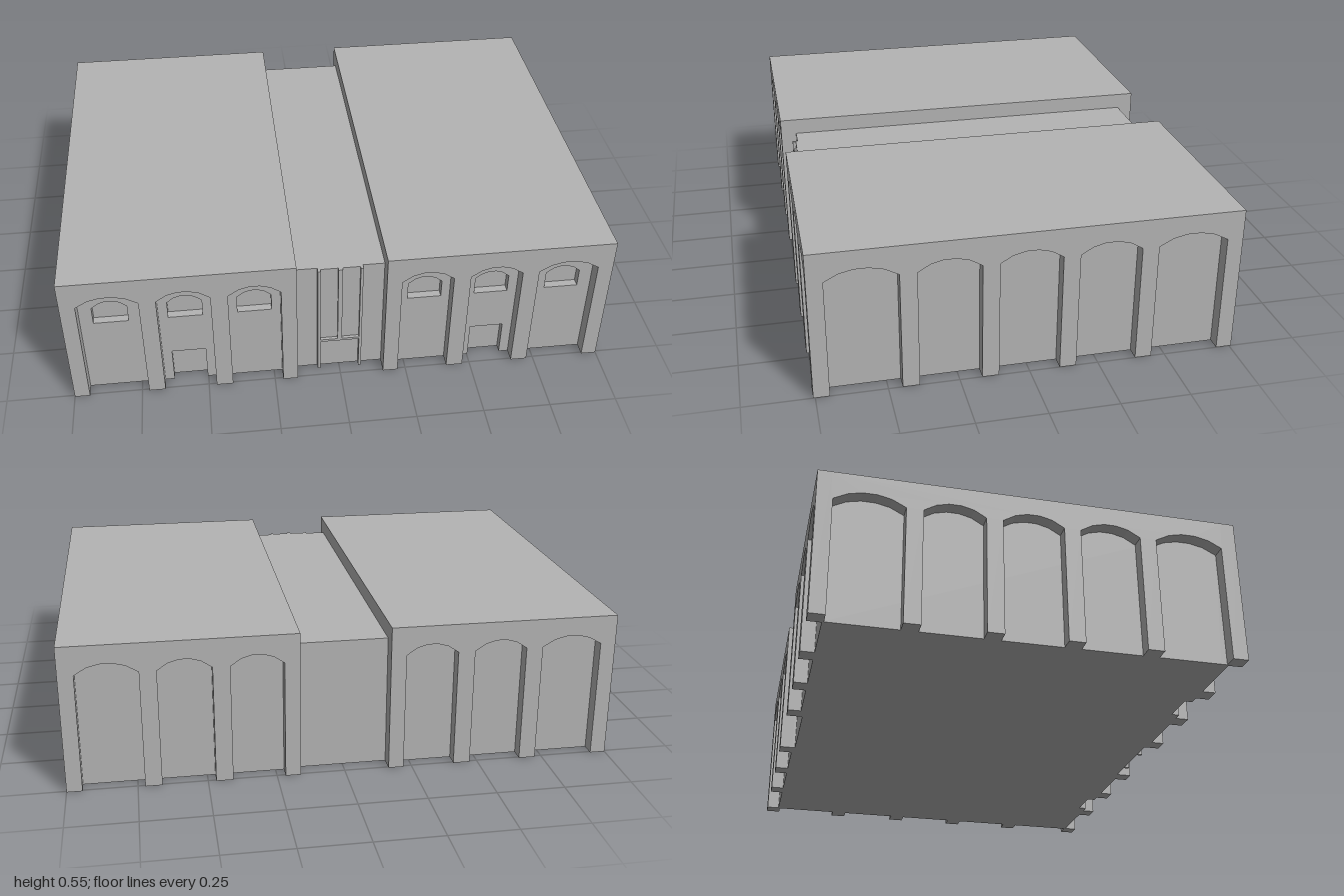
import * as THREE from 'three';

const H = 0.55, HALF_Z = 0.757, INNER = 0.163, RECESS = 0.05, REVEAL = 0.03;

// Faceted low arch: points from the left springing to the right one
function archPoints([x0, x1], spring, peak) {
  return [[0, 0], [0.2, 0.7], [0.4, 1], [0.6, 1], [0.8, 0.7], [1, 0]].map(
    ([u, v]) => new THREE.Vector2(x0 + (x1 - x0) * u, spring + (peak - spring) * v));
}

// Wall from a to b, with openings cut up from the ground, and holes
function wallGeometry(a, b, notches, holes, depth) {
  const pts = [new THREE.Vector2(a, 0)];
  for (const n of notches) {
    pts.push(new THREE.Vector2(n[0].x, 0), ...n, new THREE.Vector2(n[n.length - 1].x, 0));
  }
  pts.push(new THREE.Vector2(b, 0), new THREE.Vector2(b, H), new THREE.Vector2(a, H));
  const shape = new THREE.Shape(pts);
  for (const h of holes) shape.holes.push(new THREE.Path(h));
  return new THREE.ExtrudeGeometry(shape, { depth, bevelEnabled: false });
}

export function createModel() {
  const model = new THREE.Group();
  model.name = 'arcadedBuilding';
  const stone = new THREE.MeshStandardMaterial({ color: 0xb4b4b4 });
  stone.name = 'grey stone';

  const add = (parent, name, geometry) => {
    const mesh = new THREE.Mesh(geometry, stone);
    mesh.name = name;
    parent.add(mesh);
    return mesh;
  };
  const box = (parent, name, x0, x1, y0, y1, z0, z1) => {
    const mesh = add(parent, name, new THREE.BoxGeometry(x1 - x0, y1 - y0, z1 - z0));
    mesh.position.set((x0 + x1) / 2, (y0 + y1) / 2, (z0 + z1) / 2);
  };

  const frontBays = [[0.219, 0.409], [0.471, 0.663], [0.724, 0.944]];
  const windows = [[0.252, 0.377], [0.503, 0.628], [0.77, 0.896]];
  const door = [0.503, 0.628];
  const sideBays = [[-0.7, -0.45], [-0.39, -0.17], [-0.11, 0.11], [0.17, 0.39], [0.45, 0.7]];
  const coreZ = HALF_Z - RECESS;

  for (const s of [1, -1]) {
    const wing = new THREE.Group();
    wing.name = s > 0 ? 'leftWing' : 'rightWing';
    model.add(wing);
    // Mirror an x range, or a left-to-right list of ranges
    const flip = ([a, b]) => (s > 0 ? [a, b] : [-b, -a]);
    const flipAll = (list) => (s > 0 ? list : list.map(flip).reverse());
    const [x0, x1] = flip([INNER, 1]);
    const [c0, c1] = flip([INNER, 1 - RECESS]);

    box(wing, 'wingCore', c0, c1, 0, H, -coreZ, coreZ - REVEAL);

    // Inner front wall with window and door recesses
    const [d0, d1] = flip(door);
    const doorway = [new THREE.Vector2(d0, 0.145), new THREE.Vector2(d1, 0.145)];
    const windowHoles = flipAll(windows).map((w) => [
      new THREE.Vector2(w[0], 0.318), ...archPoints(w, 0.39, 0.418), new THREE.Vector2(w[1], 0.318)]);
    add(wing, 'windowWall', wallGeometry(c0, c1, [doorway], windowHoles, REVEAL))
      .position.z = coreZ - REVEAL;

    // Outer arcades
    const arches = flipAll(frontBays).map((r) => archPoints(r, 0.443, 0.48));
    const arcade = wallGeometry(x0, x1, arches, [], RECESS);
    add(wing, 'frontArcade', arcade).position.z = coreZ;
    add(wing, 'backArcade', arcade).position.z = -HALF_Z;

    const sideArches = sideBays.map((r) => archPoints(r, 0.443, 0.48));
    const side = wallGeometry(-coreZ, coreZ, sideArches, [], RECESS).rotateY(Math.PI / 2);
    add(wing, 'sideArcade', side).position.x = s > 0 ? 1 - RECESS : -1;
  }

  // Lower link between the wings
  const link = new THREE.Group();
  link.name = 'centralLink';
  model.add(link);
  const z = 0.697;
  box(link, 'linkBody', -INNER, INNER, 0, 0.49, -z, z);

  // Entrance frame with tall panes above the door
  for (const s of [-1, 1]) {
    box(link, 'entranceJamb', s * 0.078 - 0.005, s * 0.078 + 0.005, 0, 0.49, z, z + 0.02);
    box(link, 'tallPane', s * 0.0405 - 0.0325, s * 0.0405 + 0.0325, 0.15, 0.49, z, z + 0.008);
  }
  box(link, 'centreMullion', -0.008, 0.008, 0.15, 0.49, z, z + 0.02);
  box(link, 'transom', -0.073, 0.073, 0.14, 0.15, z, z + 0.02);
  return model;
}
